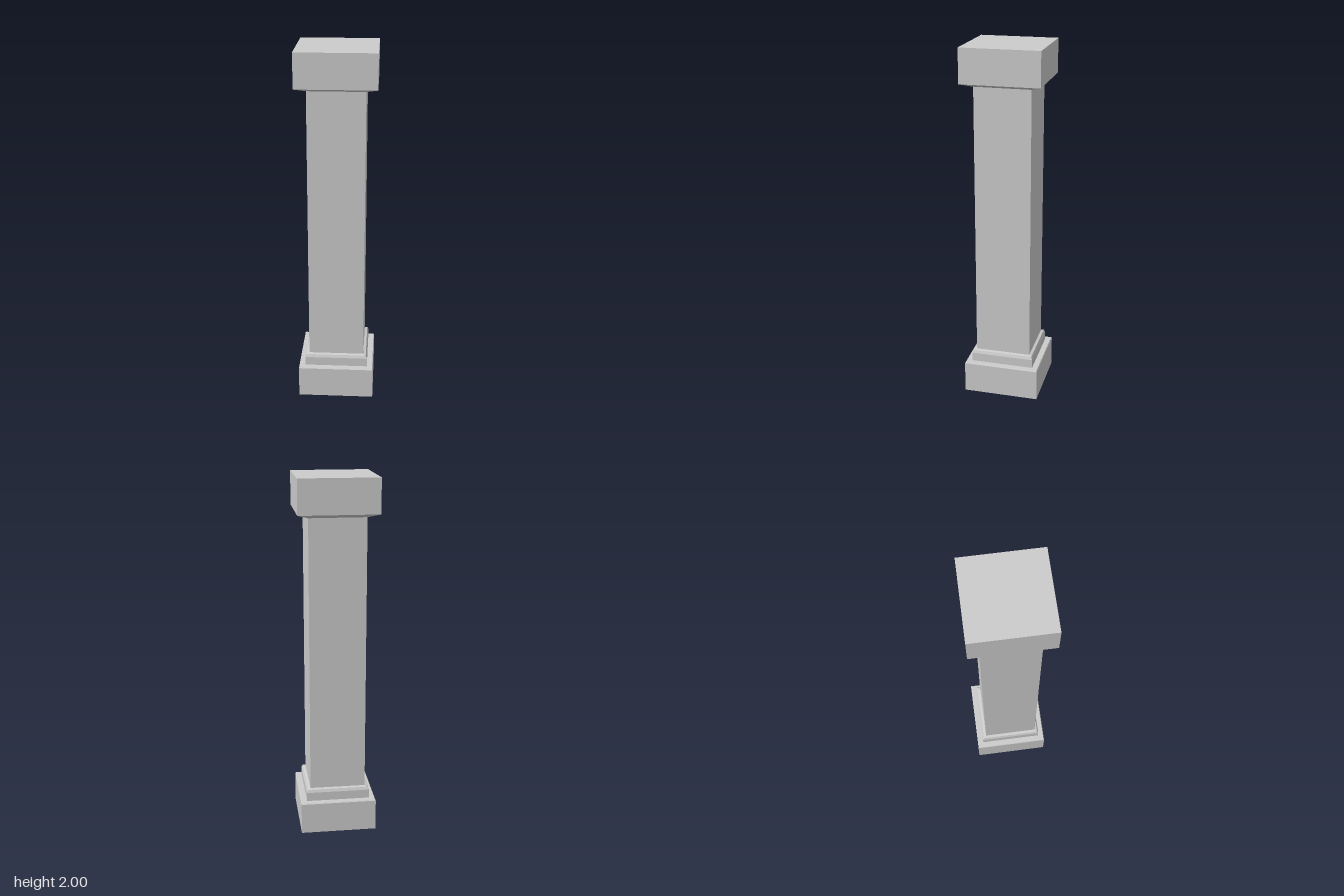
import * as THREE from 'three';

// Square block turned from a profile of [half width, height], bottom to top
function squareTurned(name, profile) {
  const points = profile.map(([half, y]) => new THREE.Vector2(half * Math.SQRT2, y));
  const geometry = new THREE.LatheGeometry(points, 4, Math.PI / 4).toNonIndexed();
  geometry.computeVertexNormals();
  const material = new THREE.MeshStandardMaterial({ color: 0xcccccc, flatShading: true });
  const mesh = new THREE.Mesh(geometry, material);
  mesh.name = name;
  return mesh;
}

export function createModel() {
  const pillar = new THREE.Group();
  pillar.name = 'pillar';
  pillar.add(
    // Plinth with a slightly eased top edge
    squareTurned('plinth', [[0, 0], [0.213, 0], [0.213, 0.177], [0.209, 0.182], [0, 0.182]]),
    // Moulding with a chamfered shoulder
    squareTurned('baseMoulding', [[0.178, 0.18], [0.178, 0.232], [0.171, 0.248], [0.156, 0.252]]),
    // Plain shaft
    squareTurned('shaft', [[0.156, 0.18], [0.156, 1.8]]),
    // Capital flaring out from the shaft
    squareTurned('capital', [[0.156, 1.79], [0.217, 1.812], [0.217, 2], [0, 2]]),
  );
  return pillar;
}
